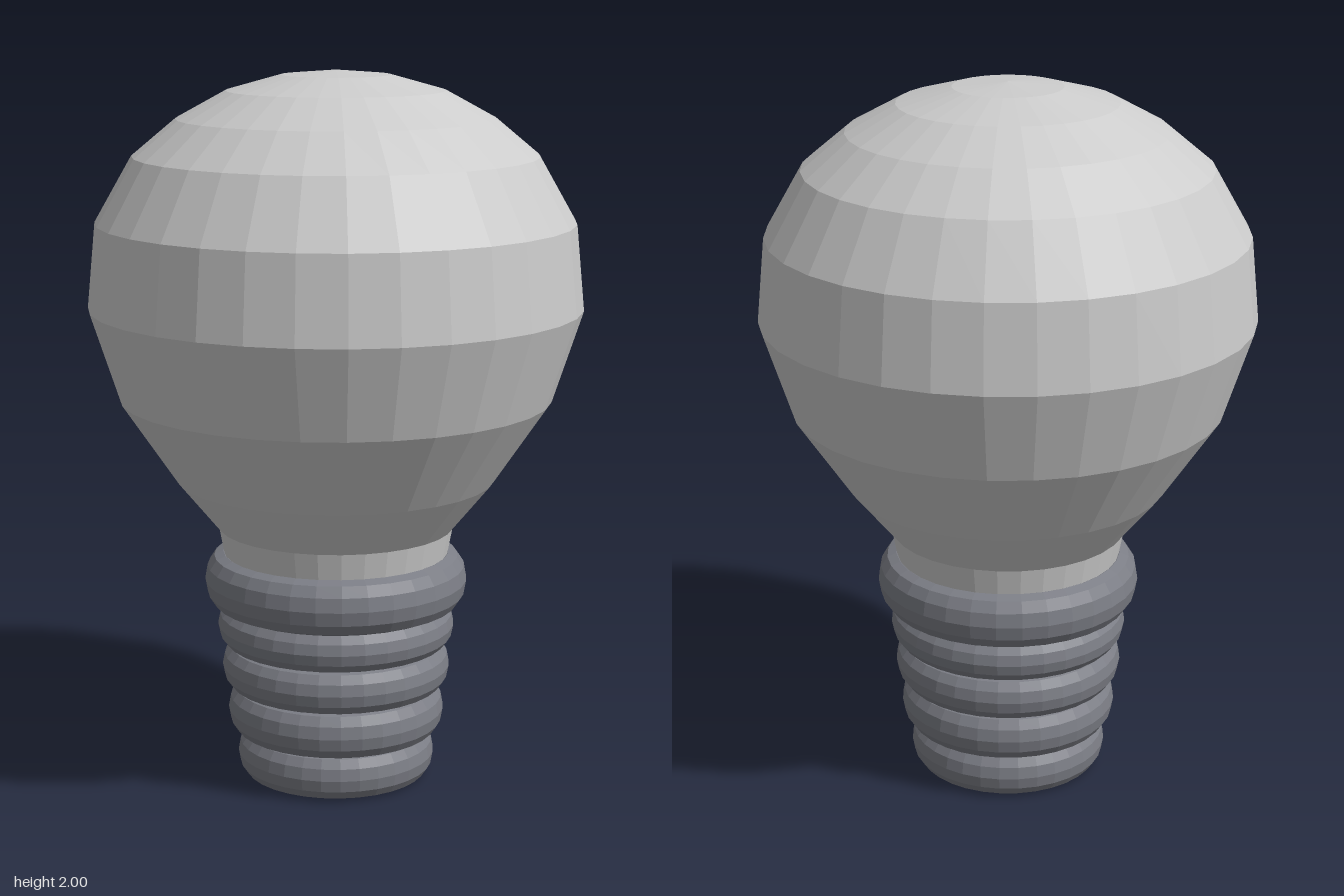
import * as THREE from 'three';

const SIDES = 32;

function lathe(name, points, material) {
  const profile = points.map(([r, y]) => new THREE.Vector2(r, y));
  const mesh = new THREE.Mesh(new THREE.LatheGeometry(profile, SIDES), material);
  mesh.name = name;
  return mesh;
}

// Closed oval cross-section swept around the axis
function ringProfile(outer, bottom, top, depth) {
  const points = [];
  for (let i = 0; i <= 12; i++) {
    const a = (i / 12) * Math.PI * 2;
    points.push([
      outer - depth + depth * Math.cos(a),
      (bottom + top) / 2 + ((top - bottom) / 2) * Math.sin(a),
    ]);
  }
  return points;
}

export function createModel() {
  const group = new THREE.Group();
  group.name = 'lightBulb';
  const glass = new THREE.MeshStandardMaterial({ color: 0xcccccc, flatShading: true });
  const metal = new THREE.MeshStandardMaterial({ color: 0x7c7e86, flatShading: true });

  // Faceted glass globe with a short neck
  group.add(lathe('globe', [
    [0.31, 0.6], [0.315, 0.65], [0.33, 0.73], [0.445, 0.87], [0.6, 1.1], [0.683, 1.355],
    [0.66, 1.59], [0.557, 1.77], [0.437, 1.87], [0.3, 1.945], [0.15, 1.987], [0, 2],
  ], glass));

  // Stacked screw rings, widest at the top: outer radius, bottom, top, depth
  const rings = [
    [0.37, 0.5, 0.657, 0.052],
    [0.335, 0.386, 0.506, 0.047],
    [0.323, 0.262, 0.39, 0.047],
    [0.307, 0.128, 0.266, 0.047],
    [0.28, 0, 0.132, 0.045],
  ];
  rings.forEach(([outer, bottom, top, depth], i) => {
    group.add(lathe(`screwRing${i + 1}`, ringProfile(outer, bottom, top, depth), metal));
  });

  // Inner core, closed at the bottom
  group.add(lathe('core', [
    [0, 0.11], [0.215, 0.11], [0.25, 0.2], [0.27, 0.33], [0.28, 0.45], [0.3, 0.62], [0, 0.62],
  ], metal));

  // Two contact pins recessed in the open end
  for (const side of [-1, 1]) {
    const pin = new THREE.Mesh(new THREE.CylinderGeometry(0.013, 0.013, 0.1, 12), glass);
    pin.name = side > 0 ? 'leftPin' : 'rightPin';
    pin.position.set(side * 0.06, 0.08, 0);
    group.add(pin);
  }
  return group;
}
